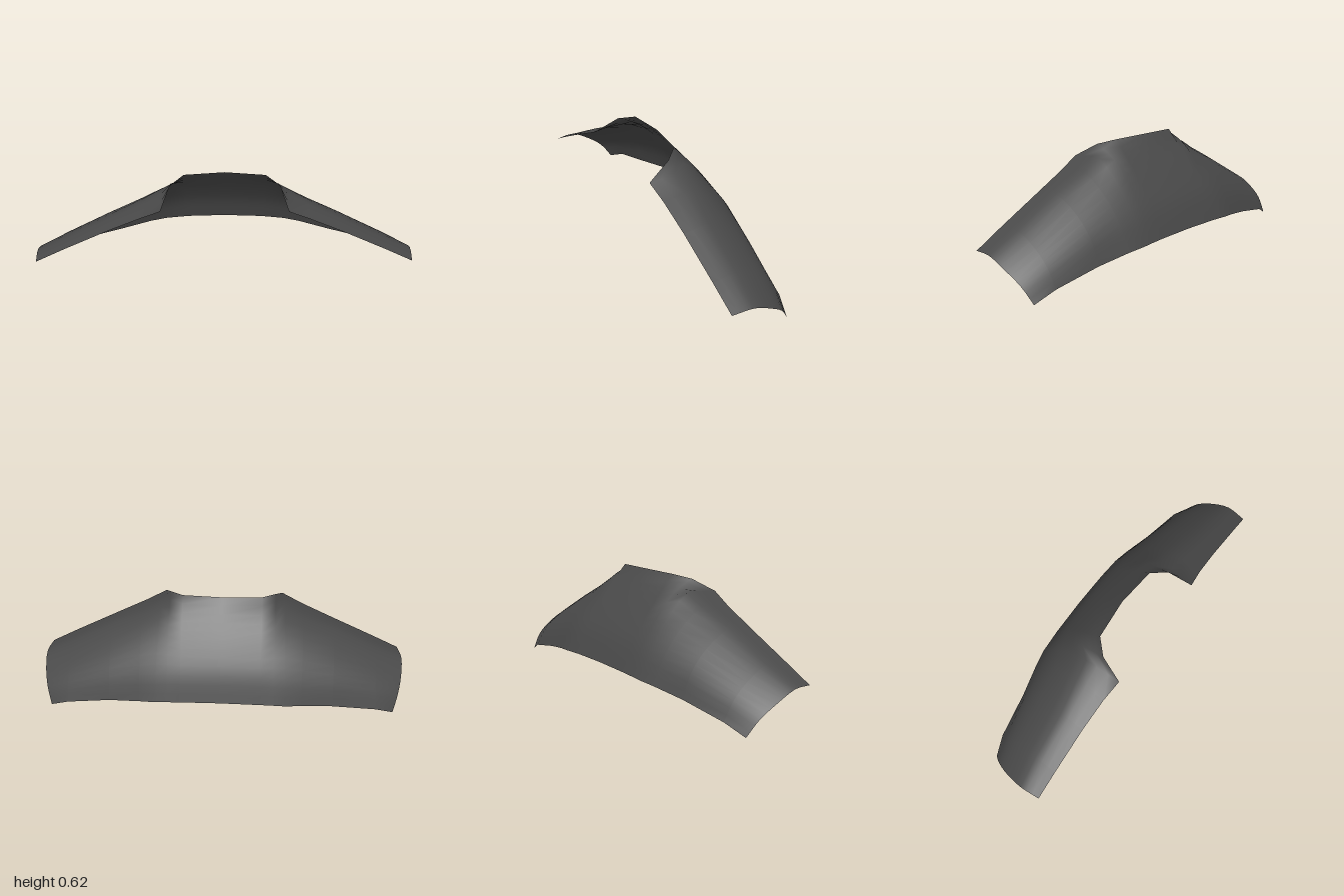
import * as THREE from 'three';

// Half sections from the centre to the shoulder end; each runs from the back hem
// over the shoulder to the neck or front edge as [x, y, z].
const SECTIONS = [
  [[0, .155, -.257], [0, .295, -.2], [0, .41, -.125], [0, .52, -.04], [0, .625, .042]],
  [[.21, .15, -.255], [.21, .29, -.198], [.21, .405, -.122], [.21, .515, -.035], [.21, .62, .06]],
  [[.28, .145, -.252], [.28, .285, -.192], [.28, .41, -.105], [.28, .53, 0], [.28, .597, .13]],
  [[.34, .14, -.25], [.34, .278, -.19], [.335, .41, -.09], [.33, .535, .06], [.32, .525, .255]],
  [[.43, .13, -.235], [.43, .26, -.175], [.43, .38, -.08], [.43, .48, .07], [.43, .47, .238]],
  [[.6, .1, -.2], [.6, .22, -.15], [.6, .32, -.06], [.6, .4, .09], [.6, .387, .226]],
  [[.84, .05, -.17], [.84, .14, -.115], [.84, .21, -.035], [.84, .272, .09], [.84, .265, .216]],
  [[.945, 0, -.14], [.97, .08, -.085], [.99, .14, -.005], [1, .19, .1], [.99, .185, .21]],
];
const STEPS = 12;

// Smooth row of points along one section; the right side sits slightly forward.
function sectionRow(points, side) {
  const curve = new THREE.CatmullRomCurve3(points.map(([x, y, z]) => new THREE.Vector3(
    side * x,
    y + (side < 0 ? .01 * x * x : 0),
    z + (side < 0 ? .03 * x * x : 0))));
  return curve.getPoints(STEPS);
}

// Loft a sheet through rows ordered from -x to +x.
function loft(rows) {
  const positions = rows.flat().flatMap(p => [p.x, p.y, p.z]);
  const index = [];
  const n = STEPS + 1;
  for (let i = 0; i < rows.length - 1; i++) {
    for (let j = 0; j < STEPS; j++) {
      const a = i * n + j, b = a + n;
      index.push(a, a + 1, b, a + 1, b + 1, b);
    }
  }
  const geometry = new THREE.BufferGeometry();
  geometry.setAttribute('position', new THREE.Float32BufferAttribute(positions, 3));
  geometry.setIndex(index);
  geometry.computeVertexNormals();
  return geometry;
}

export function createModel() {
  const group = new THREE.Group();
  group.name = 'shoulderCape';
  const right = SECTIONS.slice(1).reverse().map(s => sectionRow(s, -1));
  const left = SECTIONS.map(s => sectionRow(s, 1));
  const material = new THREE.MeshStandardMaterial({ color: 0x4a4a4a, side: THREE.DoubleSide });
  const cape = new THREE.Mesh(loft([...right, ...left]), material);
  cape.name = 'capeSheet';
  group.add(cape);
  return group;
}
